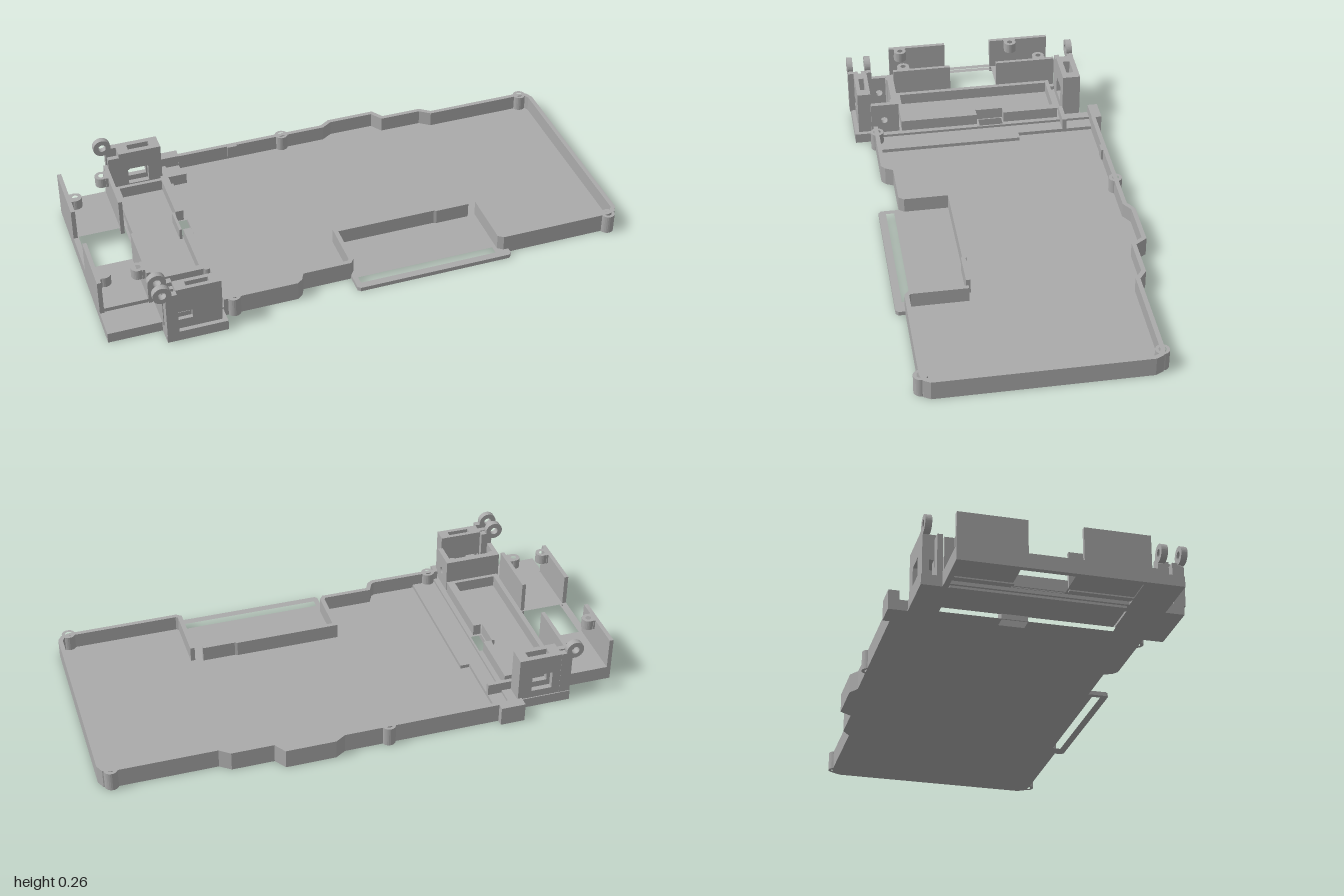
import * as THREE from 'three';

const grey = new THREE.MeshStandardMaterial({ color: 0xaaaaaa });
grey.name = 'plain grey plastic';

export function createModel() {
  const model = new THREE.Group();

  const add = (name, geometry) => {
    const mesh = new THREE.Mesh(geometry, grey);
    mesh.name = name;
    model.add(mesh);
    return mesh;
  };
  const box = (name, x0, x1, y0, y1, z0, z1) => {
    const g = new THREE.BoxGeometry(x1 - x0, y1 - y0, z1 - z0);
    g.translate((x0 + x1) / 2, (y0 + y1) / 2, (z0 + z1) / 2);
    return add(name, g);
  };
  const rect = (a0, a1, b0, b1) => [[a0, b0], [a1, b0], [a1, b1], [a0, b1]];
  const circle = (a, b, r, n = 24) => Array.from({ length: n }, (_, i) => {
    const t = (i / n) * Math.PI * 2;
    return [a + r * Math.cos(t), b + r * Math.sin(t)];
  });
  const extrude = (pts, holes, depth, flip) => {
    const v = (p) => new THREE.Vector2(p[0], p[1] * flip);
    const shape = new THREE.Shape(pts.map(v));
    holes.forEach((h) => shape.holes.push(new THREE.Path(h.map(v))));
    return new THREE.ExtrudeGeometry(shape, { depth, bevelEnabled: false });
  };
  // Plan outline in (x, z), raised from y0 to y1
  const slab = (name, pts, holes, y0, y1) =>
    add(name, extrude(pts, holes, y1 - y0, -1).rotateX(-Math.PI / 2).translate(0, y0, 0));
  // Upright plate drawn in (x, y), spanning z0 to z1
  const plateZ = (name, pts, holes, z0, z1) =>
    add(name, extrude(pts, holes, z1 - z0, 1).translate(0, 0, z0));
  // Upright plate drawn in (z, y), spanning x0 to x1
  const plateX = (name, pts, holes, x0, x1) =>
    add(name, extrude(pts, holes, x1 - x0, -1).rotateX(Math.PI)
      .rotateY(-Math.PI / 2).rotateX(0).scale(1, 1, 1).translate(x1, 0, 0));
  // Thin wall following a path, thickened to one side with mitred corners
  const wall = (name, pts, t, y0, y1) => {
    const normal = (a, b) => {
      const l = Math.hypot(b[0] - a[0], b[1] - a[1]);
      return [-(b[1] - a[1]) / l, (b[0] - a[0]) / l];
    };
    const inner = pts.map((p, i) => {
      const n1 = normal(pts[Math.max(i - 1, 0)], pts[Math.max(i, 1)]);
      const last = pts.length - 1;
      const n2 = normal(pts[Math.min(i, last - 1)], pts[Math.min(i + 1, last)]);
      const k = t / (1 + n1[0] * n2[0] + n1[1] * n2[1]);
      return [p[0] + (n1[0] + n2[0]) * k, p[1] + (n1[1] + n2[1]) * k];
    });
    slab(name, [...pts, ...inner.reverse()], [], y0, y1);
  };

  // Tray outline, clockwise seen from above
  const H = 0.075;
  const rim = [
    [-0.5, -0.48], [0.1, -0.48], [0.14, -0.505], [0.33, -0.505], [0.36, -0.46], [0.52, -0.46],
    [0.56, -0.43], [0.95, -0.43], [0.98, -0.42], [0.995, -0.39],
    [0.995, 0.39], [0.98, 0.415], [0.95, 0.425], [0.52, 0.425], [0.5, 0.41], [0.5, 0.19],
  ];
  const rimFront = [
    [0.47, 0.195], [0.34, 0.195], [0.33, 0.19], [-0.055, 0.19], [-0.055, 0.36], [-0.07, 0.38],
    [-0.255, 0.38], [-0.27, 0.41], [-0.29, 0.425], [-0.57, 0.425],
  ];
  wall('trayWall', rim, 0.017, 0, H);
  wall('trayFrontWall', rimFront, 0.017, 0, H);
  slab('trayFloor', [
    [-0.555, -0.48], ...rim.slice(0, 13), [0.54, 0.425], [0.54, 0.45], [0.53, 0.46],
    [-0.06, 0.46], [-0.07, 0.45], ...rimFront.slice(5, 9), [-0.555, 0.425],
  ], [rect(-0.05, 0.485, 0.4, 0.432)], 0, 0.016);
  box('trayCornerBlock', -0.592, -0.498, 0, H, -0.505, -0.465);
  box('trayBackStrip', -0.592, -0.555, 0, 0.04, -0.47, -0.43);
  slab('floorStep', [[-0.555, -0.465], [-0.5, -0.465], [-0.5, -0.16], [-0.465, -0.16],
    [-0.465, 0.41], [-0.555, 0.41]], [], 0.01, 0.03);
  box('wallClip', -0.3, -0.26, 0.03, H, -0.475, -0.455);
  [[-0.53, 0.415], [0.95, 0.42], [0.95, -0.42], [-0.07, -0.472]].forEach(([x, z]) =>
    slab('screwPost', circle(x, z, 0.026), [circle(x, z, 0.014)], 0, H));

  // End base, hollowed from below
  slab('endBase', [[-1, -0.36], [-0.8, -0.36], [-0.8, -0.435], [-0.555, -0.435], [-0.555, 0.425],
    [-0.575, 0.425], [-0.575, 0.5], [-0.8, 0.5], [-0.8, 0.43], [-1, 0.43]],
  [rect(-0.98, -0.8, -0.34, 0.29), rect(-0.775, -0.615, -0.33, 0.3),
    rect(-0.61, -0.562, -0.105, -0.01)], 0, 0.04);
  slab('bayFloor', rect(-1, -0.785, -0.36, 0.31), [rect(-0.98, -0.787, -0.12, 0.072)], 0.035, 0.055);
  box('frameFloor', -0.785, -0.605, 0.022, 0.04, -0.335, 0.305);

  // Raised rectangular frame
  box('frameLeftSide', -0.79, -0.772, 0.04, 0.085, -0.335, 0.31);
  box('frameRightSide', -0.605, -0.575, 0.04, 0.085, 0.0, 0.31);
  box('frameRightSide', -0.605, -0.575, 0.04, 0.085, -0.335, -0.11);
  box('frameBridge', -0.62, -0.61, 0.04, 0.085, -0.11, 0);
  [[-0.335, -0.32], [0.295, 0.31]].forEach(([a, b]) =>
    box('frameEnd', -0.79, -0.575, 0.04, 0.085, a, b));
  box('backBar', -0.6, -0.5, 0.03, H, -0.36, -0.343);

  // Bay walls with screw bosses
  [[-0.36, -0.115], [0.078, 0.315]].forEach(([a, b]) => {
    box('outerBayWall', -1, -0.984, 0.03, 0.18, a, b);
    box('innerBayWall', -0.82, -0.805, 0.03, 0.18, a, b);
  });
  [[-0.965, -0.2, -1], [-0.842, -0.3, 1], [-0.965, 0.27, -1], [-0.842, 0.27, 1]].forEach(([x, z, s]) => {
    slab('screwBoss', circle(x, z, 0.025), [circle(x, z, 0.011)], 0.14, 0.18);
    const a = x + s * 0.012, b = x + s * 0.025;
    box('bossBracket', Math.min(a, b), Math.max(a, b), 0.14, 0.18, z - 0.025, z + 0.025);
  });

  // Front box with round side holes
  [[-0.8, -0.782], [-0.597, -0.577]].forEach(([a, b]) => {
    const g = extrude(rect(0.32, 0.432, 0.035, 0.17), [circle(0.38, 0.098, 0.014)], b - a, 1);
    add('boxSideWall', g.rotateY(-Math.PI / 2).translate(b, 0, 0));
  });
  box('boxInnerWall', -0.79, -0.585, 0.035, 0.17, 0.32, 0.345);
  [-0.775, -0.605].forEach((x) =>
    slab('boxScrewPillar', circle(x, 0.337, 0.016), [circle(x, 0.337, 0.008)], 0.04, 0.17));

  // Tall latch walls at both ends, each with a window and a top slot
  const latch = (name, z0, z1, window) => {
    const t = (z1 - z0) * 0.3;
    const outline = rect(-0.757, -0.592, 0.035, 0.217);
    plateZ(name, outline, [window], z0, z0 + t);
    plateZ(name, outline, [window], z1 - t, z1);
    box(name + 'Side', -0.757, -0.715, 0.12, 0.217, z0 + t, z1 - t);
    box(name + 'Side', -0.63, -0.592, 0.035, 0.217, z0 + t, z1 - t);
    box(name + 'Column', -0.8, -0.757, 0.03, 0.2, z0, z0 + 0.02);
    box(name + 'Column', -0.8, -0.757, 0.03, 0.2, z1 - 0.02, z1);
  };
  latch('frontLatchWall', 0.43, 0.483, rect(-0.753, -0.7, 0.08, 0.115));
  latch('backLatchWall', -0.431, -0.36, rect(-0.725, -0.645, 0.07, 0.14));

  // Hinge lugs
  [[0.483, 0.506], [0.41, 0.434], [-0.432, -0.408]].forEach(([a, b]) => {
    plateZ('hingeLug', circle(-0.81, 0.225, 0.034, 32), [circle(-0.81, 0.225, 0.015)], a, b);
    plateZ('hingeArm', [[-0.8, 0.035], [-0.757, 0.035], [-0.757, 0.217], [-0.783, 0.217], [-0.8, 0.19]],
      [], a, b);
  });

  return model;
}
